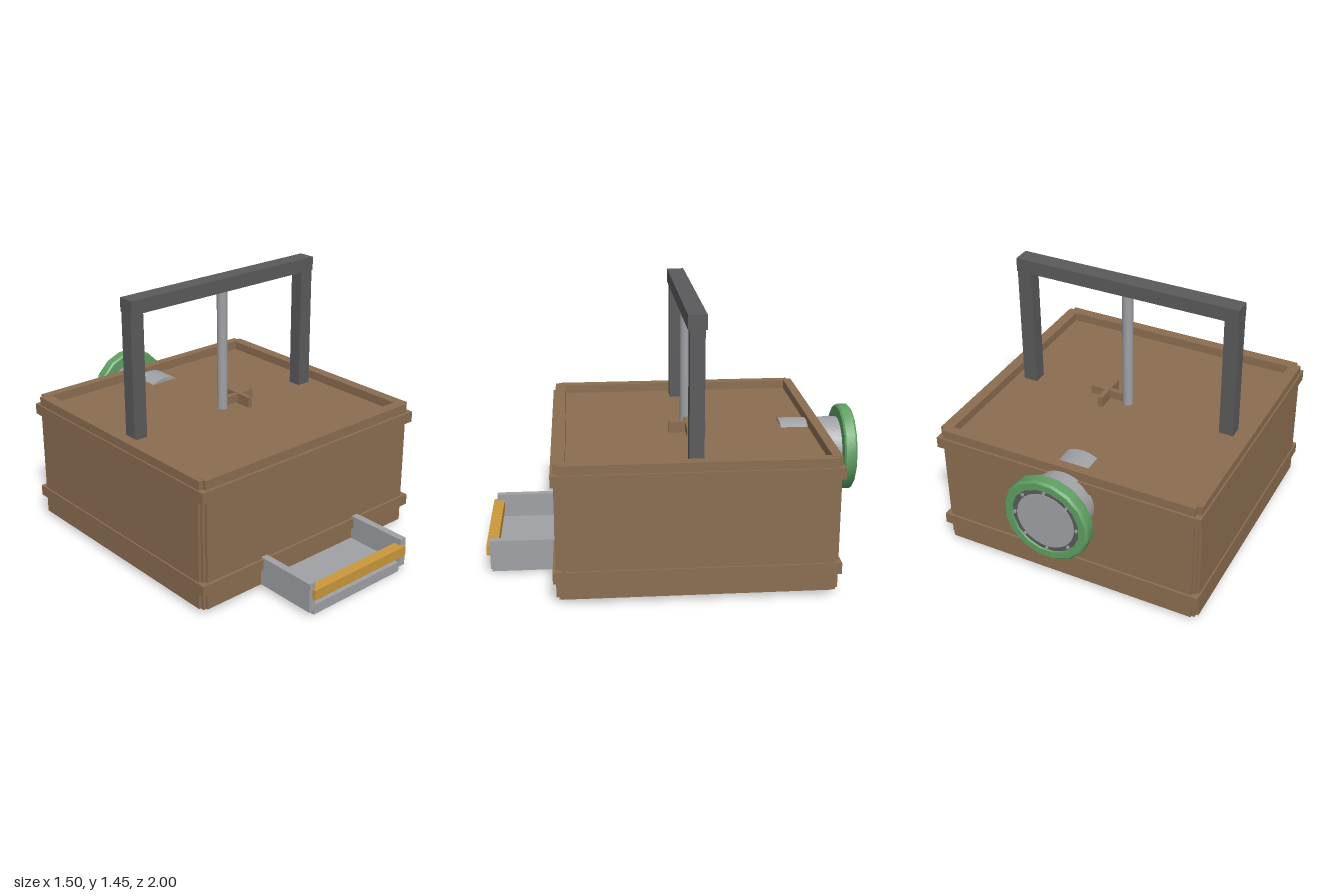
import * as THREE from 'three';
import { toCreasedNormals } from 'three/addons/utils/BufferGeometryUtils.js';

export function createModel() {
  const model = new THREE.Group();
  const mat = (name, color) => {
    const m = new THREE.MeshStandardMaterial({ color });
    m.name = name;
    return m;
  };
  const wood = mat('brown wood', 0x8b6d51);
  const iron = mat('dark iron', 0x5a5a5c);
  const steel = mat('light steel', 0xa0a1a5);
  const green = mat('green paint', 0x5f9f62);
  const amber = mat('amber', 0xcb983c);

  const add = (name, geo, material, parent = model) => {
    const mesh = new THREE.Mesh(geo, material);
    mesh.name = name;
    parent.add(mesh);
    return mesh;
  };
  // Box given by its limits along each axis
  const box = (name, [x0, x1], [y0, y1], [z0, z1], material, parent) => {
    const mesh = add(name, new THREE.BoxGeometry(x1 - x0, y1 - y0, z1 - z0), material, parent);
    mesh.position.set((x0 + x1) / 2, (y0 + y1) / 2, (z0 + z1) / 2);
    return mesh;
  };

  // Crate body with slightly raised panels that leave notched corners
  const crate = new THREE.Group();
  crate.name = 'crate';
  model.add(crate);
  box('crateCore', [-0.725, 0.725], [0.025, 0.69], [-0.785, 0.615], wood, crate);
  box('frontPanel', [-0.71, 0.71], [0.03, 0.69], [0.6, 0.63], wood, crate);
  box('backPanel', [-0.71, 0.71], [0.03, 0.69], [-0.8, -0.77], wood, crate);
  for (const s of [-1, 1]) {
    const side = box('sidePanel', [-0.015, 0.015], [0.03, 0.69], [-0.77, 0.6], wood, crate);
    side.position.x = s * 0.725;
  }

  // Raised rim around the recessed deck
  box('rimFront', [-0.715, 0.715], [0.68, 0.74], [0.57, 0.63], wood, crate);
  box('rimBack', [-0.715, 0.715], [0.68, 0.74], [-0.8, -0.75], wood, crate);
  for (const s of [-1, 1]) {
    const rim = box('rimSide', [-0.03, 0.03], [0.68, 0.738], [-0.775, 0.61], wood, crate);
    rim.position.x = s * 0.71;
  }

  // Two trim bands around the crate
  for (const y of [0.12, 0.63]) {
    box('bandFront', [-0.748, 0.748], [y, y + 0.06], [0.6, 0.645], wood, crate);
    box('bandBack', [-0.748, 0.748], [y, y + 0.06], [-0.812, -0.77], wood, crate);
    for (const s of [-1, 1]) {
      const band = box('bandSide', [-0.02, 0.02], [y, y + 0.06], [-0.775, 0.605], wood, crate);
      band.position.x = s * 0.728;
    }
  }

  // Small cross handle on the deck
  box('crossBarX', [0.02, 0.215], [0.7, 0.747], [-0.098, -0.072], wood);
  box('crossBarZ', [0.105, 0.13], [0.68, 0.75], [-0.185, 0.015], wood);

  // Gantry frame and centre rod
  for (const s of [-1, 1]) {
    const post = box('framePost', [-0.04, 0.04], [0.68, 1.38], [-0.12, -0.045], iron);
    post.position.x = s * 0.59;
  }
  box('frameBeam', [-0.628, 0.628], [1.37, 1.445], [-0.13, -0.035], iron);
  const rod = add('centreRod', new THREE.CylinderGeometry(0.029, 0.029, 0.69, 12), steel);
  rod.position.set(0, 1.03, -0.083);

  // Pipe and flange, turned around an axis that points to the back
  const port = new THREE.Group();
  port.name = 'pipePort';
  port.position.y = 0.543;
  port.rotation.x = -Math.PI / 2;
  model.add(port);
  const pipe = add('pipe', new THREE.CylinderGeometry(0.17, 0.17, 0.38, 32), steel, port);
  pipe.position.y = 0.79;
  const ring = (name, points, sides, material) => {
    const profile = points.map(([r, h]) => new THREE.Vector2(r, h));
    const geo = new THREE.LatheGeometry(profile, sides, Math.PI / sides);
    return add(name, toCreasedNormals(geo, 0.45), material, port);
  };
  ring('flange', [
    [0.165, 0.928], [0.23, 0.928], [0.239, 0.937], [0.239, 0.987],
    [0.228, 0.998], [0.19, 0.998], [0.185, 0.985], [0.165, 0.985], [0.165, 0.928],
  ], 16, green);
  ring('flangeGasket', [
    [0.15, 0.97], [0.188, 0.97], [0.188, 0.989], [0.15, 0.989], [0.15, 0.97],
  ], 32, iron);
  const cover = add('pipeCover', new THREE.CylinderGeometry(0.16, 0.16, 0.02, 32), steel, port);
  cover.position.y = 0.983;
  for (let i = 0; i < 8; i++) {
    const a = (i / 8) * Math.PI * 2;
    const bolt = add('flangeBolt', new THREE.CylinderGeometry(0.009, 0.009, 0.02, 6), steel, port);
    bolt.position.set(Math.sin(a) * 0.173, 0.987, Math.cos(a) * 0.173);
  }

  // Front tray with side plates and a cross bar
  const tray = new THREE.Group();
  tray.name = 'frontTray';
  model.add(tray);
  box('trayFloor', [-0.315, 0.315], [0, 0.055], [0.59, 0.975], steel, tray);
  for (const s of [-1, 1]) {
    const plate = box('traySide', [-0.02, 0.02], [0.03, 0.19], [0.59, 0.98], steel, tray);
    plate.position.x = s * 0.333;
  }
  box('trayBar', [-0.333, 0.333], [0.1, 0.156], [0.94, 1], amber, tray);

  return model;
}
